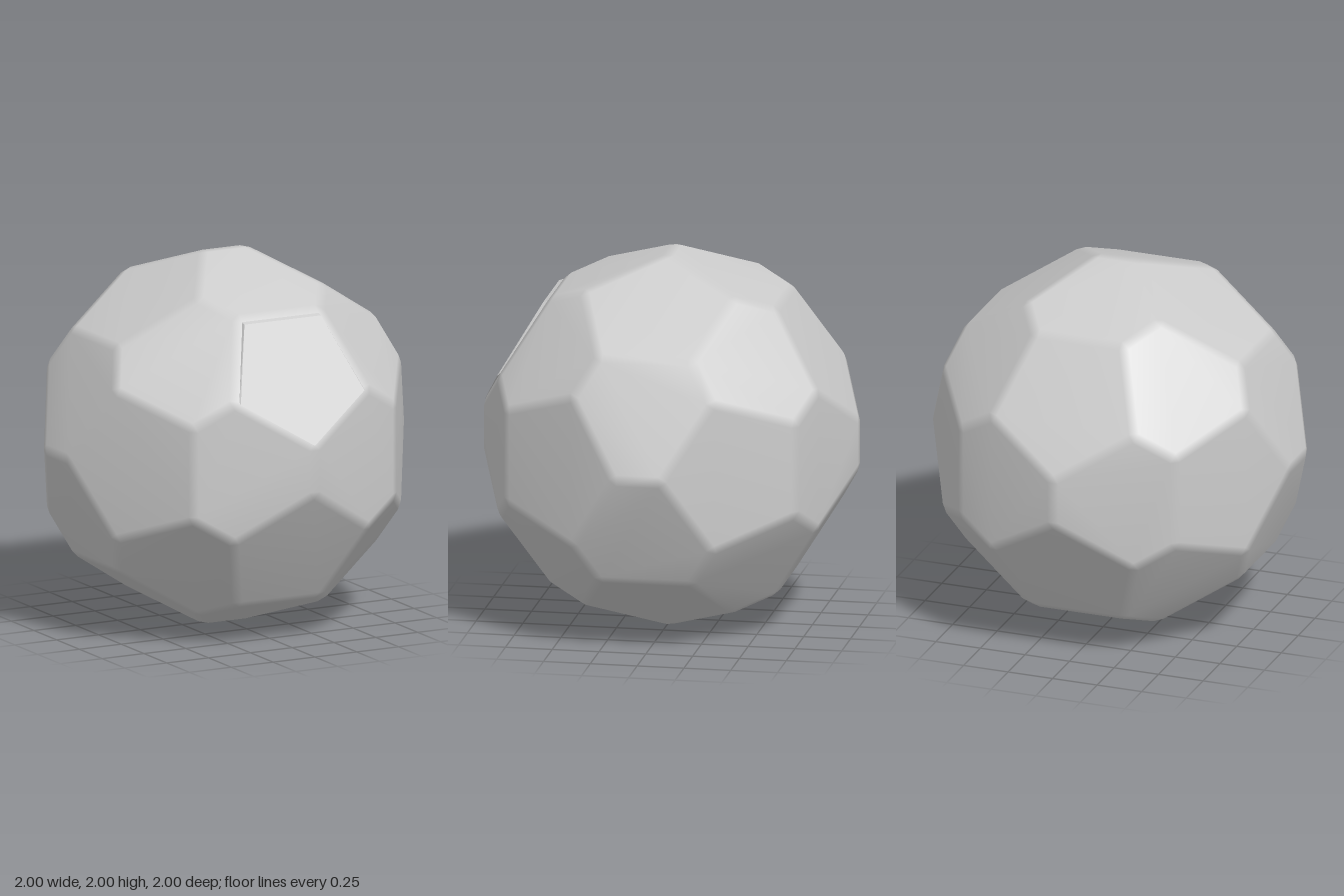
import * as THREE from 'three';
import { ConvexGeometry } from 'three/addons/geometries/ConvexGeometry.js';
import { mergeVertices } from 'three/addons/utils/BufferGeometryUtils.js';

const PHI = (1 + Math.sqrt(5)) / 2;
const PENTAGON_DISTANCE = 0.925;
const HEXAGON_DISTANCE = 0.944;
const EDGE_DISTANCE = 1.011; // middle of an edge between two hexagons
const EDGE_HALF = 0.123;
const INSET = 0.09; // how far each panel shrinks to leave a bevel

// The twelve pentagon directions
function pentagonAxes() {
  const axes = [];
  for (const a of [-1, 1]) {
    for (const b of [-PHI, PHI]) {
      axes.push(new THREE.Vector3(a, b, 0), new THREE.Vector3(0, a, b), new THREE.Vector3(b, 0, a));
    }
  }
  return axes.map((v) => v.normalize());
}

const adjacent = (a, b) => a !== b && a.dot(b) > 0.4;

// Corner of the pentagon around a that points towards b
function corner(a, b) {
  const middle = a.clone().add(b).normalize().multiplyScalar(EDGE_DISTANCE);
  return middle.addScaledVector(a.clone().sub(b).normalize(), EDGE_HALF);
}

function pentagon(a, axes) {
  const centre = a.clone().multiplyScalar(PENTAGON_DISTANCE);
  return axes.filter((b) => adjacent(a, b)).map((b) => corner(a, b).lerp(centre, INSET));
}

export function createModel() {
  const group = new THREE.Group();
  group.name = 'panelledBall';
  const material = new THREE.MeshStandardMaterial({ color: 0xcccccc });
  const axes = pentagonAxes();

  // Body: inset pentagons and hexagons, joined by narrow smooth bevels
  const points = [];
  for (const a of axes) {
    points.push(...pentagon(a, axes));
    for (const b of axes.filter((v) => adjacent(a, v))) {
      for (const c of axes.filter((v) => adjacent(a, v) && adjacent(b, v))) {
        const centre = a.clone().add(b).add(c).normalize().multiplyScalar(HEXAGON_DISTANCE);
        points.push(corner(a, b).lerp(centre, INSET));
      }
    }
  }
  const hull = new ConvexGeometry(points);
  hull.deleteAttribute('normal');
  const bodyGeometry = mergeVertices(hull, 1e-4);
  bodyGeometry.computeVertexNormals();
  const body = new THREE.Mesh(bodyGeometry, material);
  body.name = 'ballBody';
  group.add(body);

  // Upper front pentagon: slightly lifted at its top, with sharp edges
  const front = axes.find((v) => v.y > 0.1 && v.z > 0.8);
  const down = new THREE.Vector3(0, -front.z, front.y);
  const base = pentagon(front, axes);
  const lifted = base.map((p) => {
    const lift = 0.016 * THREE.MathUtils.clamp((p.y - 0.15) / 0.6, 0, 1);
    return p.clone().addScaledVector(down, 0.02).addScaledVector(front, lift);
  });
  const plate = new THREE.Mesh(new ConvexGeometry([...base, ...lifted]), material);
  plate.name = 'raisedFrontPanel';
  group.add(plate);

  // Rest the ball on the ground
  for (const mesh of group.children) mesh.position.y = 1;
  return group;
}
